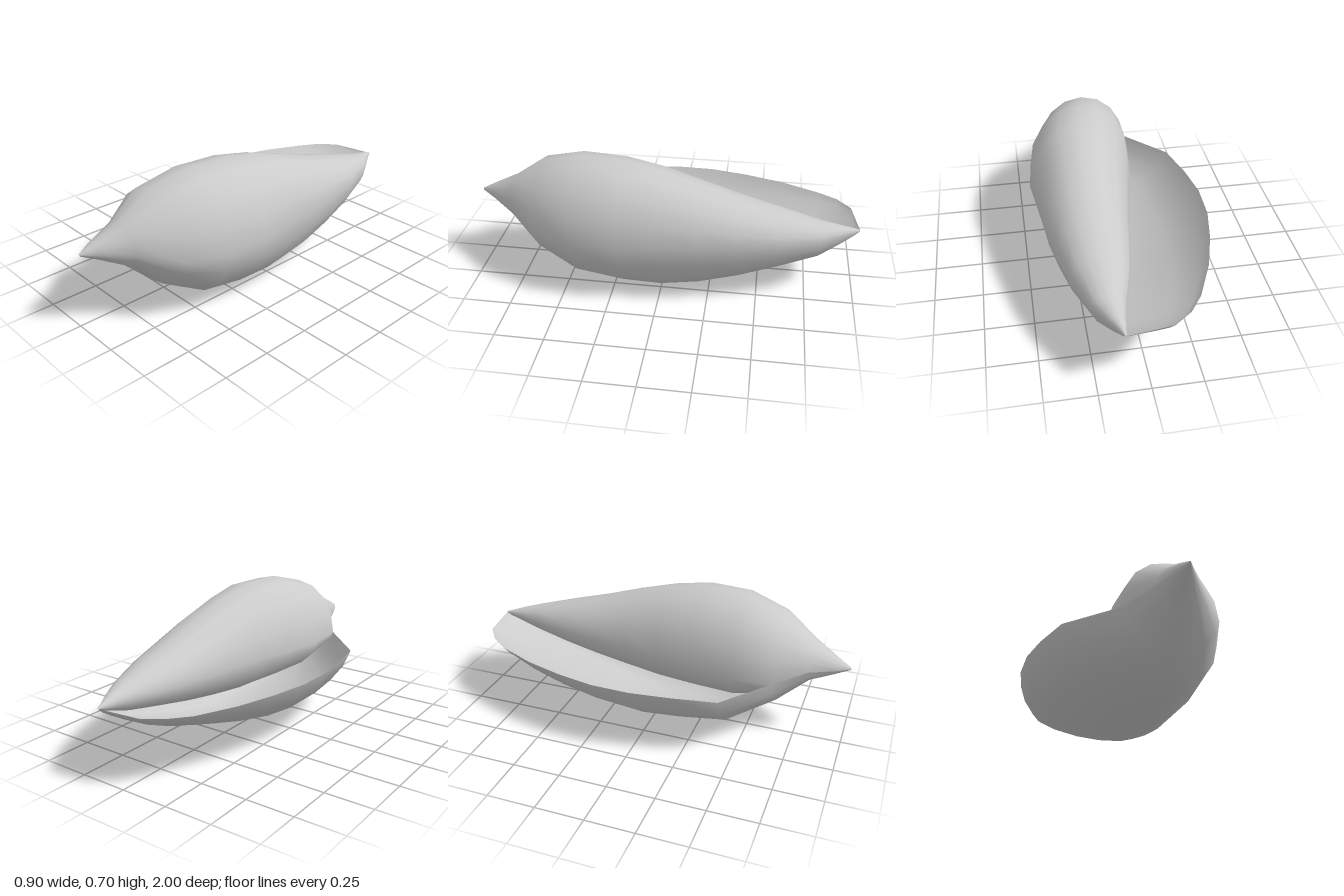
import * as THREE from 'three';

// Growth stations from spire to tail:
// [z, axis height, lip x, body left x, body right x, top y, bottom y]
const STATIONS = [
  [1, 0.41, 0.05, 0.05, 0.06, 0.417, 0.405],
  [0.93, 0.405, 0.015, 0.015, 0.11, 0.455, 0.37],
  [0.8, 0.395, -0.03, -0.03, 0.21, 0.525, 0.3],
  [0.64, 0.355, -0.14, -0.14, 0.35, 0.638, 0.15],
  [0.43, 0.34, -0.37, -0.14, 0.43, 0.697, 0.037],
  [0.2, 0.35, -0.425, -0.11, 0.45, 0.697, 0.01],
  [0, 0.355, -0.455, -0.07, 0.425, 0.66, 0],
  [-0.2, 0.355, -0.45, -0.035, 0.405, 0.6, 0.035],
  [-0.4, 0.355, -0.41, -0.005, 0.37, 0.535, 0.09],
  [-0.6, 0.355, -0.35, 0.03, 0.325, 0.48, 0.16],
  [-0.8, 0.355, -0.26, 0.085, 0.25, 0.425, 0.23],
  [-0.9, 0.36, -0.19, 0.105, 0.19, 0.4, 0.29],
  [-0.97, 0.362, -0.1, 0.115, 0.145, 0.38, 0.335],
  [-1, 0.365, 0.11, 0.12, 0.13, 0.37, 0.36],
];
const STEPS = 24; // one and a half turns, 22.5 degrees each

// Point on the spiral section: lip -> bottom -> right -> top -> left -> inner curl
function sectionPoint([z, cy, lip, left, right, top, bottom], j) {
  const cx = (left + right) / 2;
  const quarter = Math.min(Math.floor(j / 4), 5);
  const a = ((j - quarter * 4) / 4) * Math.PI / 2;
  const halfWidths = [cx - lip, right - cx, right - cx, cx - left, cx - left, (right - cx) * 0.6];
  const w = halfWidths[quarter];
  const h = [cy - bottom, cy - bottom, top - cy, top - cy, (cy - bottom) * 0.6, (cy - bottom) * 0.6][quarter];
  const power = 2 / (quarter < 2 ? 1.75 : 2);
  const even = quarter % 2 === 0;
  const u = Math.pow(Math.max(even ? Math.cos(a) : Math.sin(a), 0), power);
  const v = Math.pow(Math.max(even ? Math.sin(a) : Math.cos(a), 0), power);
  const sx = [-1, 1, 1, -1, -1, 1][quarter];
  const sy = [-1, -1, 1, 1, -1, -1][quarter];
  return [cx + sx * w * u, cy + sy * h * v, z];
}

// Skin the spiral sections into one smooth sheet
function shellGeometry() {
  const positions = [], indices = [], row = STEPS + 1;
  STATIONS.forEach((station, i) => {
    for (let j = 0; j <= STEPS; j++) {
      positions.push(...sectionPoint(station, j));
      if (i < STATIONS.length - 1 && j < STEPS) {
        const a = i * row + j, b = a + row;
        indices.push(a, b, a + 1, b, b + 1, a + 1);
      }
    }
  });
  const geometry = new THREE.BufferGeometry();
  geometry.setAttribute('position', new THREE.Float32BufferAttribute(positions, 3));
  geometry.setIndex(indices);
  geometry.computeVertexNormals();
  return geometry;
}

export function createModel() {
  const group = new THREE.Group();
  group.name = 'seashell';
  const material = new THREE.MeshStandardMaterial({ color: 0xcccccc, side: THREE.DoubleSide });
  const shell = new THREE.Mesh(shellGeometry(), material);
  shell.name = 'spiralShell';
  group.add(shell);
  return group;
}
